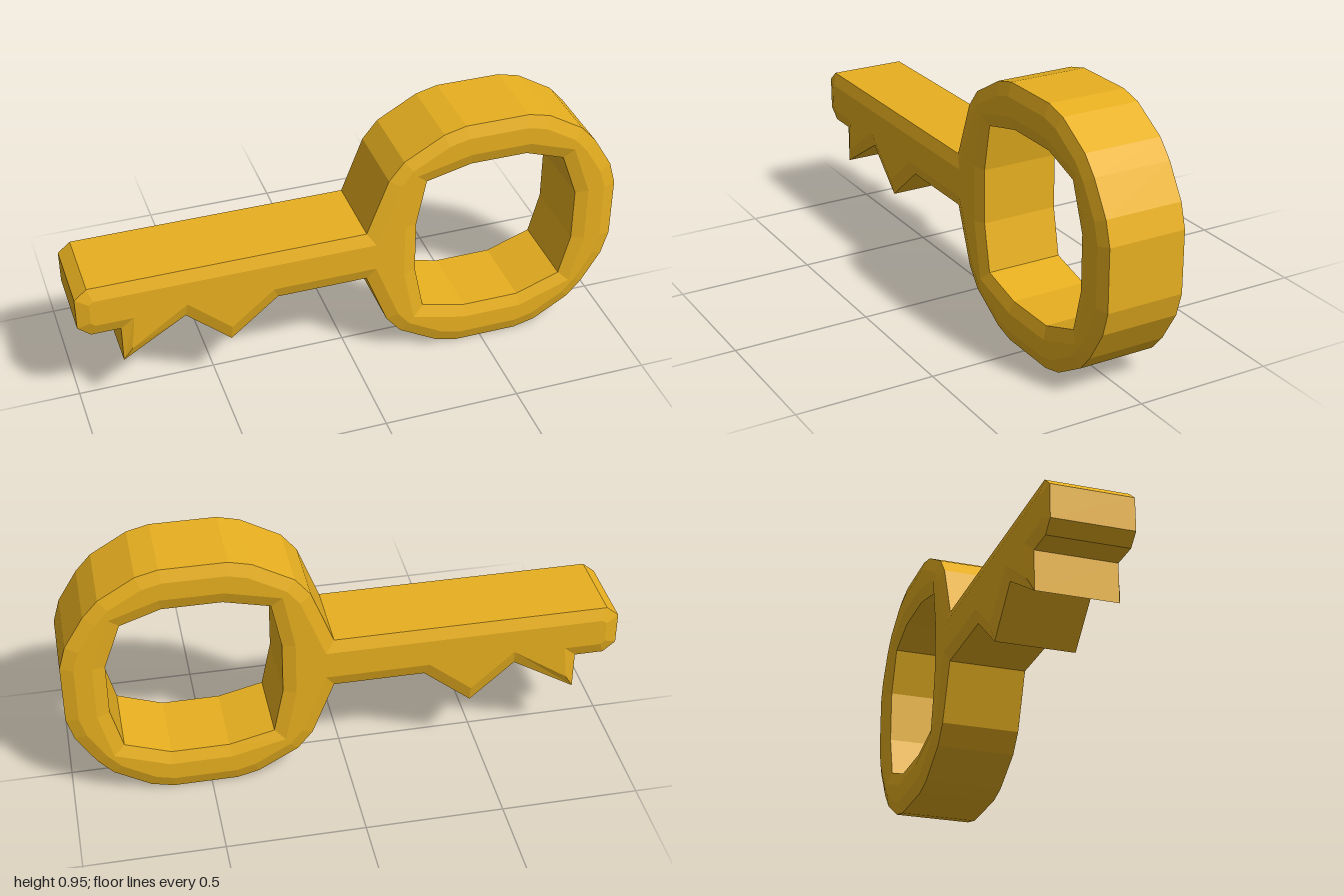
import * as THREE from 'three';

const HEIGHT = 0.95;
const toPoints = (list) => list.map(([x, y]) => new THREE.Vector2(x, y));

export function createModel() {
  const group = new THREE.Group();
  group.name = 'key';

  // Upper half of the bow, from the shaft round to the far side
  const bowTop = [
    [0.045, 0.573], [0.125, 0.78], [0.18, 0.848], [0.325, 0.93], [0.405, 0.95], [0.64, 0.95],
    [0.72, 0.93], [0.85, 0.852], [0.905, 0.79], [0.975, 0.675], [1, 0.588],
  ];
  // Lower half is its mirror image
  const bowBottom = bowTop.map(([x, y]) => [x, HEIGHT - y]).reverse();

  // Underside of the shaft with two teeth, then the chamfered tip
  const shaft = [
    [-0.285, 0.377], [-0.46, 0.232], [-0.62, 0.377], [-0.85, 0.235], [-0.85, 0.377],
    [-0.955, 0.377], [-1, 0.415], [-1, 0.535], [-0.955, 0.573],
  ];

  // Finger opening in the bow, wound opposite to the outline
  const opening = [
    [0.23, 0.375], [0.265, 0.2], [0.43, 0.16], [0.64, 0.16], [0.805, 0.22], [0.845, 0.375],
    [0.845, 0.575], [0.785, 0.74], [0.64, 0.79], [0.43, 0.79], [0.265, 0.75], [0.23, 0.575],
  ];

  const outline = new THREE.Shape(toPoints([...bowTop, ...bowBottom, ...shaft]));
  outline.holes.push(new THREE.Path(toPoints(opening)));

  // Thick plate with a shallow bevel cut inward on both faces
  const depth = 0.285;
  const geometry = new THREE.ExtrudeGeometry(outline, {
    depth,
    bevelEnabled: true,
    bevelThickness: 0.015,
    bevelSize: 0.046,
    bevelOffset: -0.046,
    bevelSegments: 1,
    curveSegments: 1,
  });
  geometry.translate(0, 0, -depth / 2);

  const gold = new THREE.MeshStandardMaterial({ color: 0xe8b020, flatShading: true });
  const body = new THREE.Mesh(geometry, gold);
  body.name = 'keyBody';
  group.add(body);
  return group;
}
